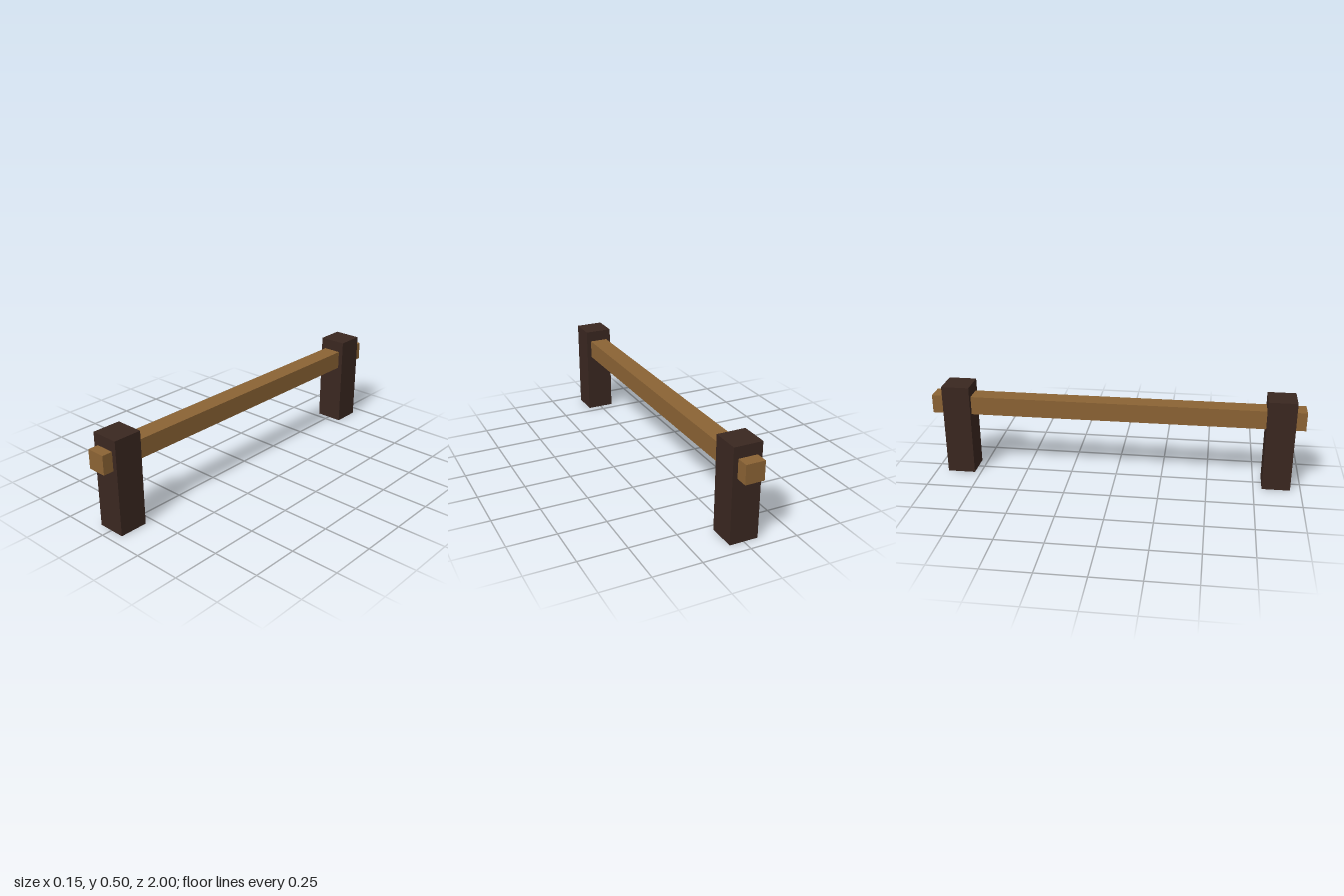
import * as THREE from 'three';

export function createModel() {
  const group = new THREE.Group();
  const darkWood = new THREE.MeshStandardMaterial({ color: 0x3a2720 });
  const lightWood = new THREE.MeshStandardMaterial({ color: 0x8b6334 });

  const addBox = (name, material, size, position) => {
    const mesh = new THREE.Mesh(new THREE.BoxGeometry(...size), material);
    mesh.name = name;
    mesh.position.set(...position);
    group.add(mesh);
  };

  // Upright posts, the front one set slightly further out
  addBox('frontPost', darkWood, [0.15, 0.5, 0.15], [0, 0.25, 0.87]);
  addBox('backPost', darkWood, [0.15, 0.5, 0.15], [0, 0.25, -0.86]);

  // Rail running through both posts
  addBox('rail', lightWood, [0.1, 0.1, 2], [0, 0.39, 0]);

  return group;
}
